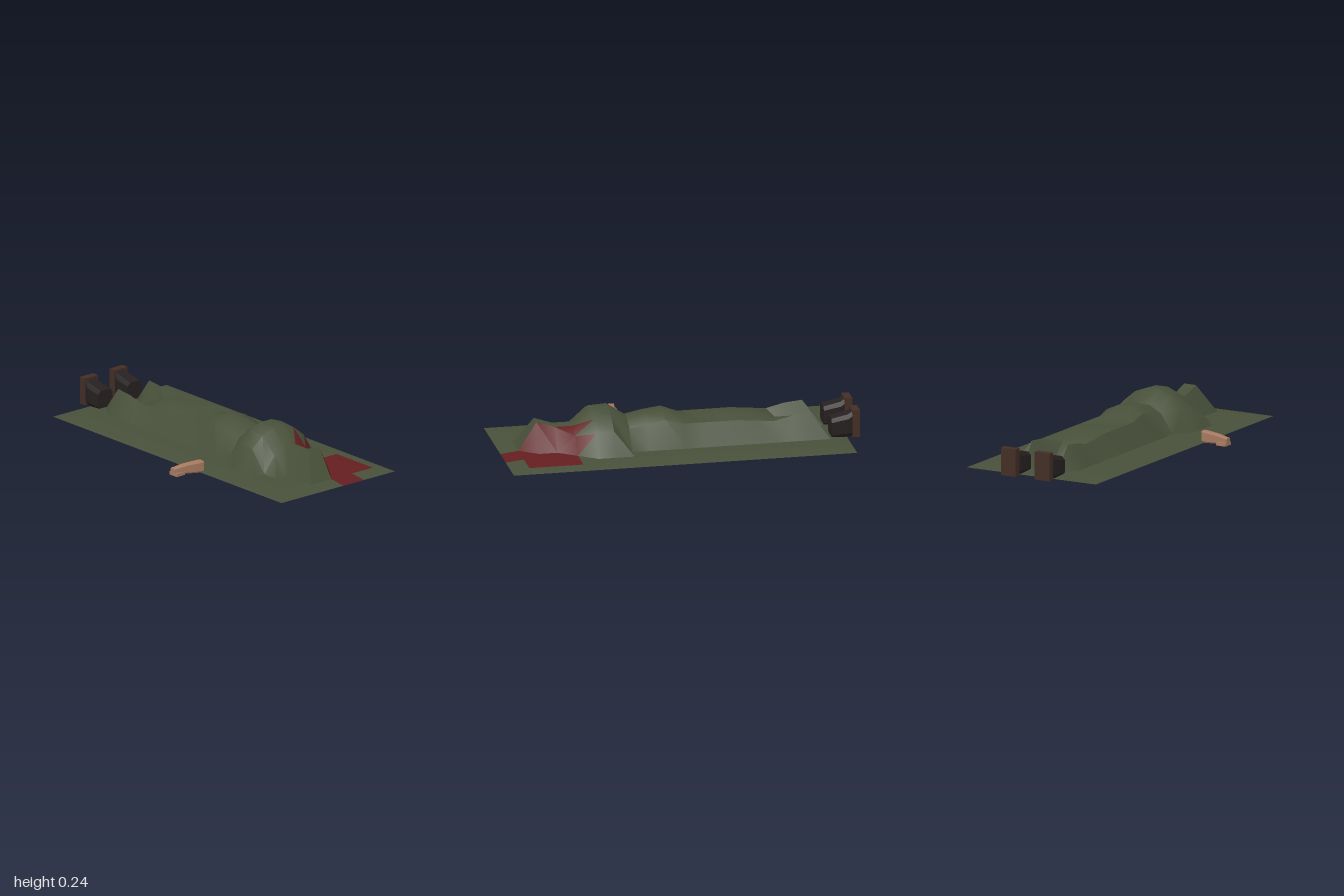
import * as THREE from 'three';
import { toCreasedNormals } from 'three/addons/utils/BufferGeometryUtils.js';

const mat = (color) => new THREE.MeshStandardMaterial({ color, side: THREE.DoubleSide });
const CLOTH = mat(0x48503a), STAIN = mat(0x641e20);
const BOOT = mat(0x262120), SOLE = mat(0x432e25), SKIN = mat(0xa87a60);

// Heights (hundredths) from outer flank to middle, one row per step from head to feet
const PROFILES = [
  [2, 2, 18], [2, 2, 14.5], [2, 11, 14.5], [14, 20, 23.2], [14.7, 21, 23.8], [2, 13, 17],
  [2, 15, 19], [2, 17, 20.3], [2, 14, 16.3], [2, 14, 13], [2, 14, 15.5], [2, 14, 15.5],
  [2, 13, 14.5], [2, 12, 12], [2, 14.5, 2], [2, 15.5, 2],
];
const COLS = 11, ROWS = 19;

function clothHeight(i, j) {
  if (i === 0 || j === 0 || i === COLS || j === ROWS) return 0.008;
  const row = PROFILES[j - 2];
  const k = Math.min(i, COLS - i) - 3;
  return row && k >= 0 ? row[k] / 100 : 0.02;
}

// Stained triangles: a block beside the head, ending in two spikes on the shoulder
function isStained(i, j, firstHalf) {
  if (j === 0) return i === 6 || i === 7;
  if (j <= 3) return i >= 6 && i <= 9;
  return j === 4 && firstHalf && (i === 6 || i === 7);
}

// Draped sheet: a grid raised by the body profiles
function makeSheet() {
  const positions = [], clean = [], stained = [];
  for (let j = 0; j <= ROWS; j++)
    for (let i = 0; i <= COLS; i++)
      positions.push(-0.34 + (0.825 * i) / COLS, clothHeight(i, j), 1 - (1.93 * j) / ROWS);
  for (let j = 0; j < ROWS; j++)
    for (let i = 0; i < COLS; i++) {
      const a = j * (COLS + 1) + i, b = a + 1, d = a + COLS + 1, c = d + 1;
      (isStained(i, j, true) ? stained : clean).push(a, b, c);
      (isStained(i, j, false) ? stained : clean).push(a, c, d);
    }
  const g = new THREE.BufferGeometry();
  g.setAttribute('position', new THREE.Float32BufferAttribute(positions, 3));
  g.setIndex([...clean, ...stained]);
  g.addGroup(0, clean.length, 0);
  g.addGroup(clean.length, stained.length, 1);
  const sheet = new THREE.Mesh(toCreasedNormals(g, 0.7), [CLOTH, STAIN]);
  sheet.name = 'drapedSheet';
  return sheet;
}

// Capped loft along z; each section is [z, centreX, width, bottom, top], corners cut by a fraction
function loft(sections, cut) {
  const e = 1 - cut;
  const ring = [[-1, -e], [-e, -1], [e, -1], [1, -e], [1, e], [e, 1], [-e, 1], [-1, e]];
  const n = ring.length, pos = [], idx = [];
  for (const [z, cx, w, y0, y1] of sections)
    for (const [u, v] of ring) pos.push(cx + (u * w) / 2, (y0 + y1) / 2 + (v * (y1 - y0)) / 2, z);
  const last = (sections.length - 1) * n;
  for (let s = 0; s < last; s += n)
    for (let k = 0; k < n; k++) {
      const a = s + k, b = s + ((k + 1) % n);
      idx.push(a, b, b + n, a, b + n, a + n);
    }
  for (let k = 1; k < n - 1; k++) idx.push(0, k + 1, k, last, last + k, last + k + 1);
  const g = new THREE.BufferGeometry();
  g.setAttribute('position', new THREE.Float32BufferAttribute(pos, 3));
  g.setIndex(idx);
  return toCreasedNormals(g, 0.5);
}

function addMesh(parent, name, geometry, material) {
  const m = new THREE.Mesh(geometry, material);
  m.name = name;
  parent.add(m);
  return m;
}

// Boot lying on its heel, sole facing back
function makeBoot(name, x) {
  const boot = new THREE.Group();
  boot.name = name;
  addMesh(boot, 'bootUpper', loft([
    [-0.96, 0, 0.085, 0.012, 0.155], [-0.935, 0, 0.1, 0.01, 0.14], [-0.84, 0, 0.105, 0.01, 0.12],
  ], 0.35), BOOT);
  addMesh(boot, 'bootSole', new THREE.BoxGeometry(0.095, 0.155, 0.042).translate(0, 0.087, -0.979), SOLE);
  boot.position.x = x;
  return boot;
}

// Hand and wrist reaching out from under the sheet, lofted along z then turned to -x
function makeHand() {
  const hand = new THREE.Group();
  hand.name = 'hand';
  addMesh(hand, 'palmAndWrist', loft([
    [0.31, 0.29, 0.042, 0.0, 0.067], [0.33, 0.287, 0.044, 0.002, 0.067],
    [0.42, 0.268, 0.04, 0.01, 0.062], [0.49, 0.255, 0.036, 0.018, 0.05],
  ], 0.25).rotateY(-Math.PI / 2), SKIN);
  addMesh(hand, 'fingers', new THREE.BoxGeometry(0.06, 0.018, 0.062).translate(-0.459, 0.016, 0.258), SKIN);
  return hand;
}

export function createModel() {
  const model = new THREE.Group();
  model.name = 'coveredFigure';
  model.add(makeSheet(), makeBoot('rightBoot', -0.037), makeBoot('leftBoot', 0.178), makeHand());
  return model;
}
